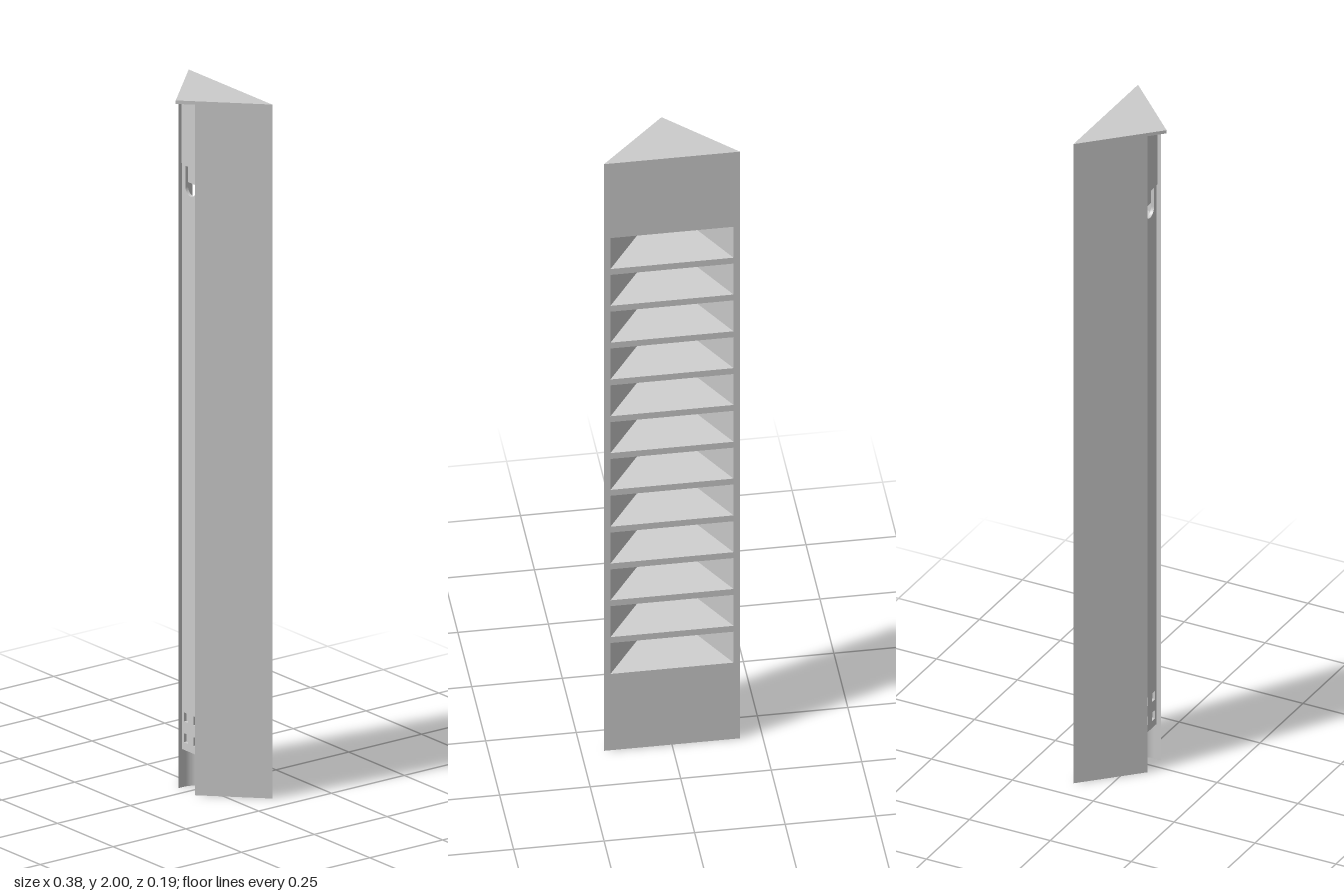
import * as THREE from 'three';
import { ConvexGeometry } from 'three/addons/geometries/ConvexGeometry.js';

const BACK = -0.094, INNER = 0.034, FRONT = 0.056; // main z planes
const HALF = 0.188, OPEN = 0.17, CH = 0.038;       // half widths: body, opening, channel
const INX = OPEN - (INNER - BACK);                 // half width of inner front wall
const LOW = 0.26, HIGH = 1.746, LID = 1.99;        // vent opening and lid heights

export function createModel() {
  const group = new THREE.Group();
  const mat = new THREE.MeshStandardMaterial({ color: 0xcccccc, flatShading: true });
  const add = (name, geo) => {
    const m = new THREE.Mesh(geo, mat);
    m.name = name;
    group.add(m);
  };
  // Plan outline given as [x, z], raised from y0 to y1
  const outline = pts => new THREE.Shape(pts.map(([x, z]) => new THREE.Vector2(x, -z)));
  const raise = (shape, y0, y1) =>
    new THREE.ExtrudeGeometry(shape, { depth: y1 - y0, bevelEnabled: false, curveSegments: 20 })
      .rotateX(-Math.PI / 2).translate(0, y0, 0);

  // Pointed lid
  add('lid', raise(outline([[-HALF, BACK], [0, 0.094], [HALF, BACK]]), LID, 2));

  // Slanted side walls, which also form the cheeks of the front channel
  for (const s of [-1, 1]) {
    const pts = [[HALF, BACK], [CH, FRONT], [CH, INNER], [INX, INNER], [OPEN, BACK]];
    add(s > 0 ? 'leftWall' : 'rightWall', raise(outline(pts.map(([x, z]) => [s * x, z])), 0, LID));
  }

  // Solid ends above and below the vents
  const core = [[-OPEN, BACK], [OPEN, BACK], [INX, INNER], [-INX, INNER]];
  add('upperBlock', raise(outline(core), HIGH, LID));
  add('lowerBlock', raise(outline(core), 0.11, LOW));

  // Foot with a half-round recess open to the front
  const foot = new THREE.Shape();
  foot.moveTo(-OPEN, -BACK);
  foot.lineTo(-INX, -INNER);
  foot.lineTo(-CH, -INNER);
  foot.absarc(0, -INNER, CH, Math.PI, 0, true);
  foot.lineTo(INX, -INNER);
  foot.lineTo(OPEN, -BACK);
  add('foot', raise(foot, 0, 0.11));

  // Channel floor with a round-bottomed slot and four small pockets
  const rect = (T, x0, x1, y0, y1) => new T([[x0, y0], [x1, y0], [x1, y1], [x0, y1]]
    .map(p => new THREE.Vector2(...p)));
  const floor = rect(THREE.Shape, -CH, CH, 0.11, 1.8);
  const slot = new THREE.Path();
  slot.moveTo(-0.023, 1.795);
  slot.lineTo(-0.023, 1.735);
  slot.absarc(0, 1.735, 0.023, Math.PI, Math.PI * 2, false);
  slot.lineTo(0.023, 1.795);
  slot.closePath();
  floor.holes.push(slot);
  for (const x of [-0.021, 0.021])
    for (const y of [0.145, 0.205])
      floor.holes.push(rect(THREE.Path, x - 0.009, x + 0.009, y - 0.013, y + 0.013));
  add('channelFloor', new THREE.ExtrudeGeometry(floor,
    { depth: 0.009, bevelEnabled: false, curveSegments: 16 }).translate(0, 0, INNER));
  add('channelTopPlate', new THREE.BoxGeometry(CH * 2, LID - 1.8, 0.012)
    .translate(0, (LID + 1.8) / 2, INNER + 0.006));

  // Louvres: flat underneath, sloping down towards the back on top
  const slat = 0.02, cells = 12;
  const pitch = (HIGH - LOW + slat) / cells;
  for (let i = 0; i < cells; i++) {
    const top = LOW + i * pitch, bottom = top - slat, rise = 0.059;
    const pts = [];
    for (const s of [-1, 1]) pts.push(
      new THREE.Vector3(s * OPEN, bottom, BACK), new THREE.Vector3(s * OPEN, top, BACK),
      new THREE.Vector3(s * INX, bottom, INNER), new THREE.Vector3(s * INX, top + rise, INNER));
    add('louvre', new ConvexGeometry(pts));
  }
  return group;
}
